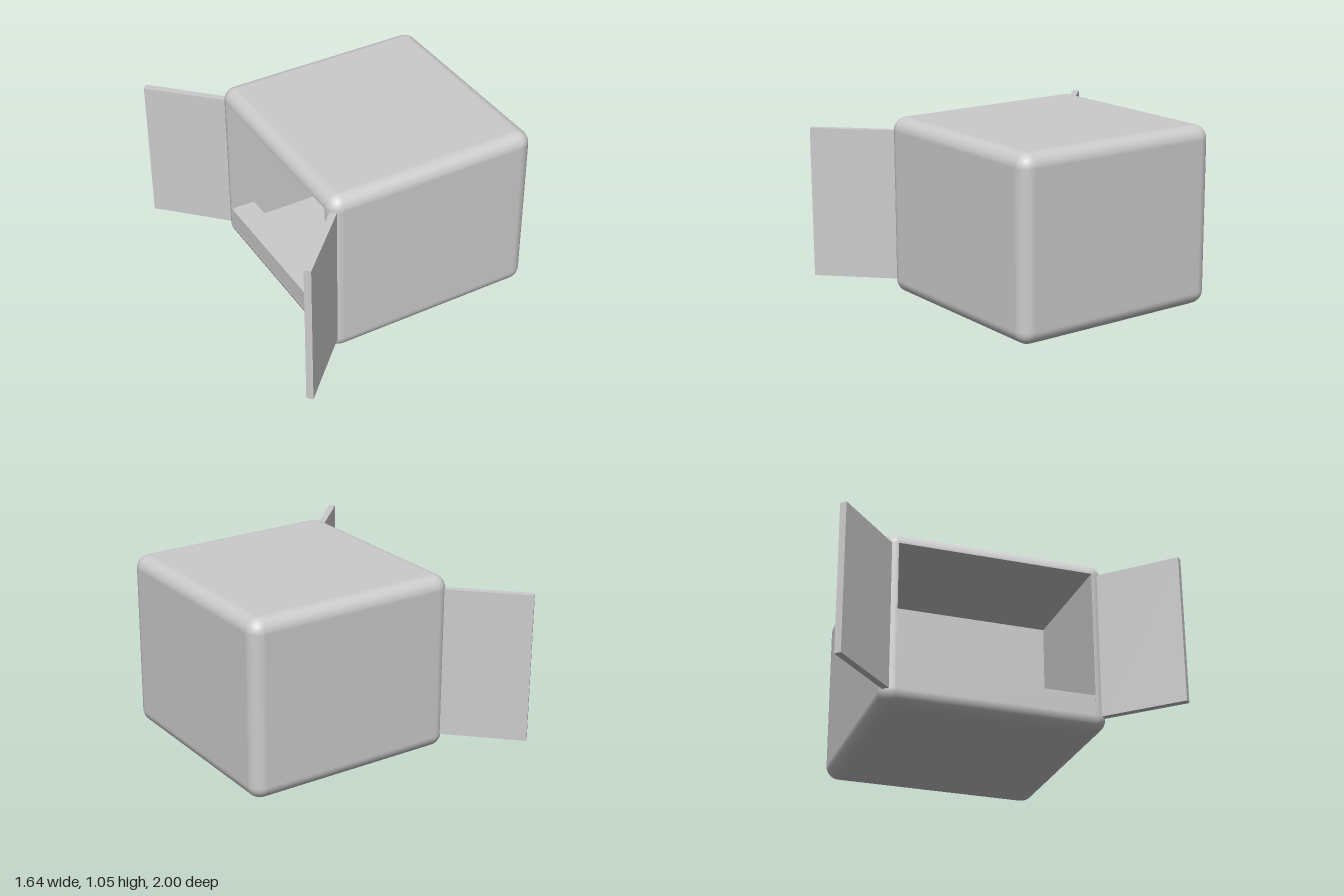
import * as THREE from 'three';
import { RoundedBoxGeometry } from 'three/addons/geometries/RoundedBoxGeometry.js';

const W = 1.3, H = 1.05, D = 1.32, R = 0.08;   // body size and corner radius
const CX = 0.17;                               // body centre along x
const X0 = CX - W / 2;                         // open side
const DEPTH = 0.78;                            // cavity depth

// Rounded box with the flat panel of its -x side left out.
function openShell() {
  const geo = new RoundedBoxGeometry(W, H, D, 4, R);
  const pos = geo.attributes.position, keep = [];
  for (let i = 0; i < pos.count; i += 3) {
    const flat = [0, 1, 2].every(k => pos.getX(i + k) < -W / 2 + 1e-4);
    if (!flat) keep.push(i, i + 1, i + 2);
  }
  geo.clearGroups();
  geo.setIndex(keep);
  return geo;
}

export function createModel() {
  const model = new THREE.Group();
  const grey = new THREE.MeshStandardMaterial({ color: 0xcccccc });
  const thin = new THREE.MeshStandardMaterial({ color: 0xcccccc, side: THREE.DoubleSide });

  const add = (name, geo, x, y, z, parent = model, mat = grey) => {
    const mesh = new THREE.Mesh(geo, mat);
    mesh.name = name;
    mesh.position.set(x, y, z);
    parent.add(mesh);
    return mesh;
  };

  // Body
  add('bodyShell', openShell(), CX, H / 2, 0);

  // Inner walls of the open compartment
  const cavity = new THREE.Group();
  cavity.name = 'compartment';
  model.add(cavity);
  const h = H - 2 * R, d = D - 2 * R, cx = X0 + DEPTH / 2;
  const wall = (name, w, t, x, y, z) =>
    add(name, new THREE.PlaneGeometry(w, t), x, y, z, cavity, thin);
  wall('compartmentFloor', DEPTH, d, cx, R, 0).rotation.x = -Math.PI / 2;
  wall('compartmentCeiling', DEPTH, d, cx, H - R, 0).rotation.x = Math.PI / 2;
  wall('compartmentBack', d, h, X0 + DEPTH, H / 2, 0).rotation.y = -Math.PI / 2;
  wall('compartmentLeftWall', DEPTH, h, cx, H / 2, d / 2).rotation.y = Math.PI;
  wall('compartmentRightWall', DEPTH, h, cx, H / 2, -d / 2);

  // Raised sill across the opening
  const sillTop = 0.2;
  add('sill', new THREE.BoxGeometry(0.15, sillTop - R, d), X0 + 0.077, (sillTop + R) / 2, 0);

  // Pair of doors swung open at 45 degrees
  for (const s of [1, -1]) {
    const door = add(s > 0 ? 'leftDoor' : 'rightDoor',
      new THREE.BoxGeometry(0.5, h, 0.04), -0.633, H / 2, s * 0.808);
    door.rotation.y = s * Math.PI / 4;
  }
  return model;
}
